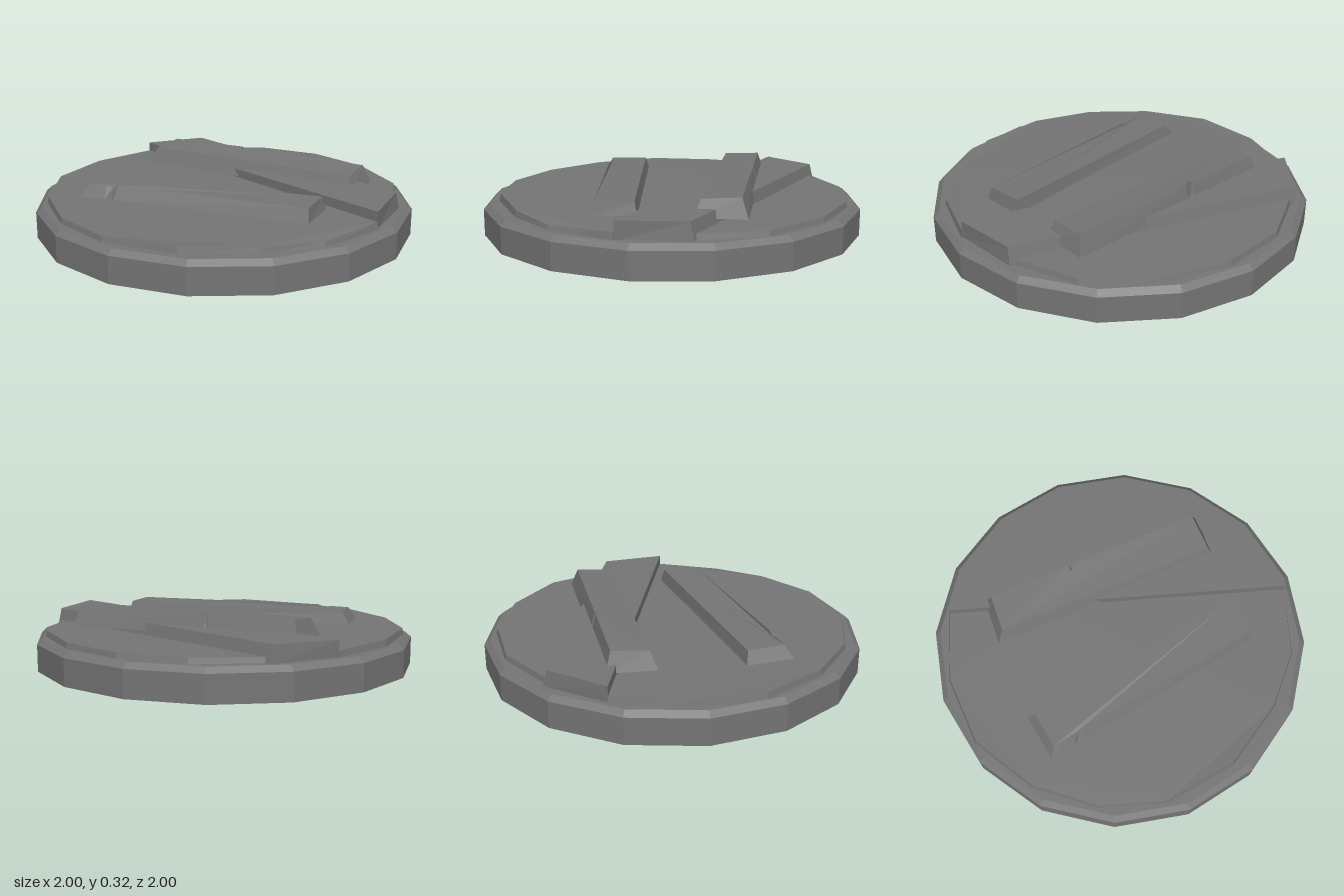
import * as THREE from 'three';

const stone = new THREE.MeshStandardMaterial({ color: 0x757575, flatShading: true });
stone.name = 'dark grey';

// Closed block between a flat bottom outline [x, z] at height y0 and a top outline [x, y, z].
// Outlines run front left, front right, back right, back left.
function block(name, bottom, top, y0) {
  const n = top.length;
  const pos = [...bottom.map(([x, z]) => [x, y0, z]), ...top].flat();
  const index = [];
  for (let i = 0; i < n; i++) {
    const j = (i + 1) % n;
    index.push(i, j, n + j, i, n + j, n + i);
  }
  const cap = (pts) => THREE.ShapeUtils.triangulateShape(pts.map(([x, z]) => new THREE.Vector2(x, -z)), []);
  for (const [a, b, c] of cap(bottom)) index.push(a, c, b);
  for (const [a, b, c] of cap(top.map(([x, , z]) => [x, z]))) index.push(n + a, n + b, n + c);
  const geo = new THREE.BufferGeometry();
  geo.setAttribute('position', new THREE.Float32BufferAttribute(pos, 3));
  geo.setIndex(index);
  const flat = geo.toNonIndexed();
  flat.computeVertexNormals();
  const mesh = new THREE.Mesh(flat, stone);
  mesh.name = name;
  return mesh;
}

// Thin board: the bottom is the top outline, slightly enlarged
const board = (name, top, grow = 1.01) =>
  block(name, top.map(([x, , z]) => [x * grow, z * grow]), top, 0.16);

export function createModel() {
  const group = new THREE.Group();
  group.name = 'roundLid';

  // Sixteen-sided disc with bevelled rim and recessed underside
  const profile = [[0, 0.05], [0.9, 0.05], [0.9, 0], [1, 0], [1, 0.14], [0.97, 0.167], [0, 0.167]]
    .map(([r, y]) => new THREE.Vector2(r, y));
  const disc = new THREE.Mesh(new THREE.LatheGeometry(profile, 16, -0.043), stone);
  disc.name = 'disc';
  group.add(disc);

  // Three boards lying across the disc
  group.add(board('frontBoard', [
    [-0.92, 0.2, -0.13], [-0.9, 0.2, 0.24], [-0.75, 0.2, 0.58], [-0.46, 0.197, 0.81], [-0.12, 0.195, 0.92],
    [0.23, 0.195, 0.9], [0.57, 0.205, 0.71], [0.8, 0.2, 0.41], [0.915, 0.19, 0.12], [0.9, 0.205, -0.24],
    [0.4, 0.212, -0.21], [-0.4, 0.208, -0.16],
  ]));
  group.add(board('backBoard', [
    [-0.8, 0.195, -0.44], [0.74, 0.195, -0.53], [0.48, 0.195, -0.81],
    [0.12, 0.195, -0.925], [-0.24, 0.195, -0.9], [-0.56, 0.195, -0.74],
  ]));
  group.add(block('middleBoard',
    [[-0.92, -0.13], [0.9, -0.24], [0.74, -0.57], [-0.81, -0.475]],
    [[-0.92, 0.25, -0.13], [0.9, 0.257, -0.24], [0.74, 0.257, -0.545], [-0.81, 0.253, -0.45]], 0.16));

  // Raised slanted bars with bevelled tops and a small chip in one edge
  group.add(block('backBar',
    [[-0.645, 0.05], [0.53, -0.44], [0.43, -0.68], [-0.24, -0.395], [-0.255, -0.375], [-0.275, -0.38], [-0.725, -0.19]],
    [[-0.62, 0.305, 0.005], [0.485, 0.3, -0.455], [0.41, 0.313, -0.635],
      [-0.235, 0.322, -0.365], [-0.255, 0.318, -0.32], [-0.27, 0.322, -0.35], [-0.68, 0.315, -0.175]], 0.215));
  group.add(block('frontBar',
    [[-0.36, 0.68], [-0.235, 0.605], [-0.225, 0.575], [-0.195, 0.58], [0.715, 0.04], [0.61, -0.18], [-0.49, 0.46]],
    [[-0.345, 0.262, 0.625], [-0.26, 0.265, 0.575], [-0.23, 0.255, 0.555], [-0.2, 0.272, 0.54],
      [0.69, 0.272, 0.02], [0.6, 0.275, -0.155], [-0.445, 0.262, 0.455]], 0.195));

  return group;
}
